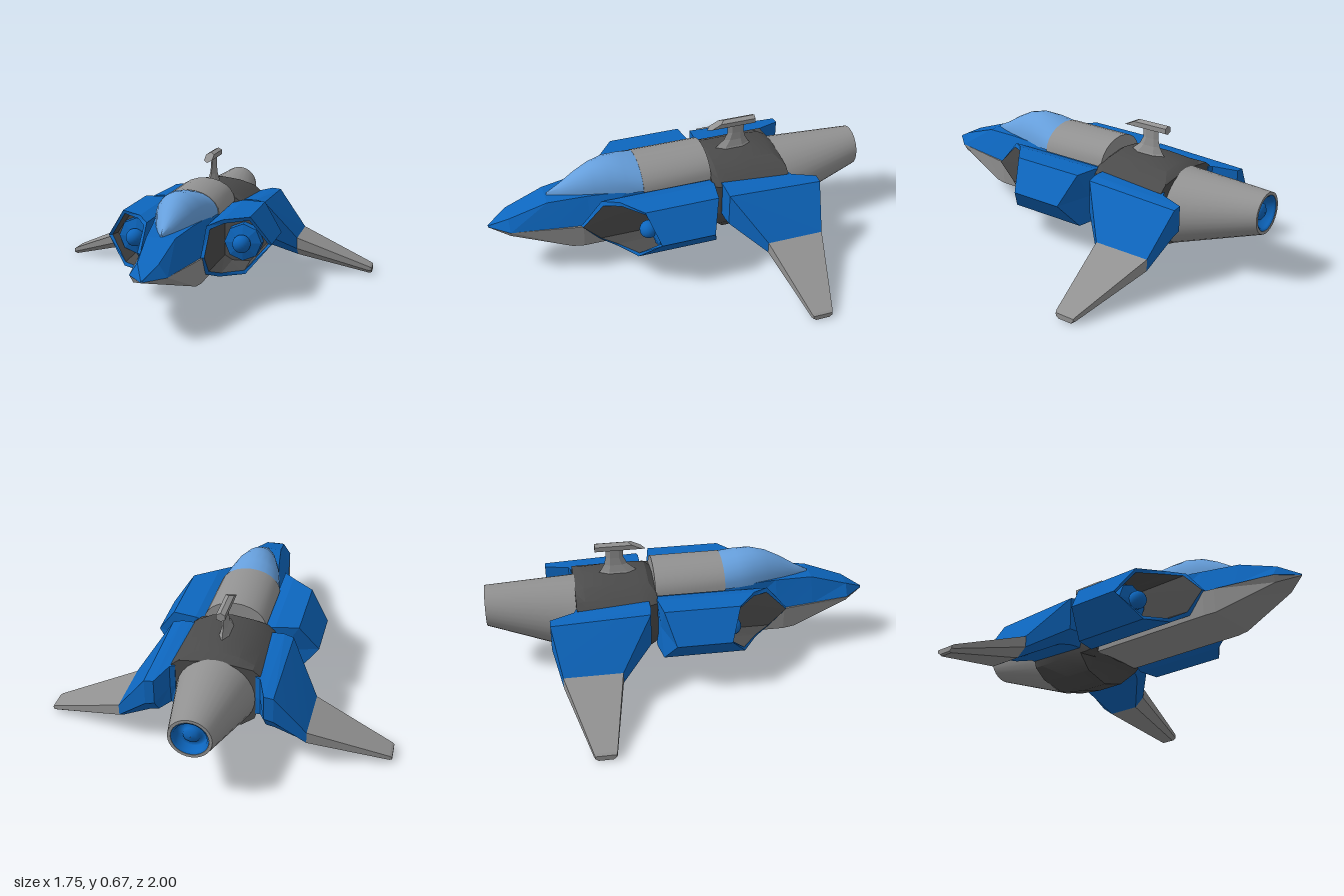
import * as THREE from 'three';
import { toCreasedNormals } from 'three/addons/utils/BufferGeometryUtils.js';

const mat = (name, color, extra = {}) => new THREE.MeshStandardMaterial({ name, color, ...extra });

// Closed skin through cross-section rings; matOf(segment) picks the material, last index is the end cap
function loft(rings, crease = 0.05, matOf = () => 0) {
  const pos = [], geo = new THREE.BufferGeometry();
  let volume = 0;
  const a = new THREE.Vector3(), b = new THREE.Vector3(), c = new THREE.Vector3();
  const tri = (p, q, r) => {
    pos.push(p, q, r);
    volume += a.set(...p).dot(b.set(...q).cross(c.set(...r)));
  };
  const cap = (ring, flip) => {
    const mid = [0, 1, 2].map((k) => ring.reduce((s, p) => s + p[k], 0) / ring.length);
    ring.forEach((p, i) => {
      const q = ring[(i + 1) % ring.length];
      flip ? tri(mid, q, p) : tri(mid, p, q);
    });
  };
  const group = (seg, build) => {
    const start = pos.length;
    build();
    geo.addGroup(start, pos.length - start, matOf(seg));
  };
  group(-1, () => cap(rings[0], true));
  for (let j = 0; j < rings.length - 1; j++) group(j, () => {
    const r = rings[j], t = rings[j + 1], n = r.length;
    for (let i = 0; i < n; i++) {
      const k = (i + 1) % n;
      tri(r[i], r[k], t[k]);
      tri(r[i], t[k], t[i]);
    }
  });
  group(rings.length - 1, () => cap(rings[rings.length - 1], false));
  if (volume < 0) for (let i = 0; i < pos.length; i += 3) [pos[i + 1], pos[i + 2]] = [pos[i + 2], pos[i + 1]];
  geo.setAttribute('position', new THREE.Float32BufferAttribute(pos.flat(), 3));
  const out = toCreasedNormals(geo, crease);
  out.groups = geo.groups;
  return out;
}

// Half outline [x, y] mirrored to a full ring at depth z
const symmetric = (half, z) => [
  ...half.map(([x, y]) => [x, y, z]),
  ...half.slice().reverse().filter(([x]) => x > 0).map(([x, y]) => [-x, y, z]),
];

export function createModel() {
  const blue = mat('blue paint', 0x0d66be);
  const blueOpen = mat('blue nozzle', 0x0d66be, { side: THREE.DoubleSide });
  const glass = mat('canopy glass', 0x669fdc);
  const grey = mat('grey metal', 0x929292);
  const dark = mat('dark metal', 0x4b4b4b);
  const model = new THREE.Group();
  const add = (name, geo, material, parent = model) => {
    const m = new THREE.Mesh(geo, material);
    m.name = name;
    parent.add(m);
    return m;
  };

  // Front fuselage: blue upper shell, grey belly
  add('noseUpper', loft([
    [1, 0.005, 0.003, 0.297], [0.9, 0.09, 0.05, 0.35], [0.7, 0.122, 0.07, 0.42],
    [0.5, 0.153, 0.1, 0.436], [0.3, 0.16, 0.14, 0.447], [-0.14, 0.16, 0.15, 0.45],
  ].map(([z, w, wt, top]) => symmetric([[w, 0.29], [wt, top]], z))), blue);
  add('noseBelly', loft([
    [1, 0.004, 0.003, 0.287], [0.9, 0.089, 0.07, 0.258], [0.6, 0.146, 0.14, 0.168],
    [0.54, 0.157, 0.15, 0.165], [-0.14, 0.157, 0.15, 0.165],
  ].map(([z, w, wb, low]) => symmetric([[w, 0.291], [wb, low]], z))), grey);

  // Arched canopy and the spine behind it: [z, half width, base y, top y]
  const arch = ([z, w, base, top]) => Array.from({ length: 13 }, (_, i) => {
    const t = Math.PI * i / 12;
    return [w * Math.cos(t), base + (top - base) * Math.sin(t), z];
  });
  add('canopy', loft([
    [0.22, 0.157, 0.44, 0.553], [0.3, 0.143, 0.437, 0.57], [0.38, 0.125, 0.434, 0.577],
    [0.46, 0.1, 0.43, 0.558], [0.54, 0.073, 0.425, 0.517], [0.62, 0.04, 0.415, 0.466],
    [0.69, 0.006, 0.41, 0.432],
  ].map(arch), 0.7), glass);
  add('spine', loft([[0.22, 0.162, 0.435, 0.555], [-0.14, 0.162, 0.435, 0.555]].map(arch), 0.7), grey);

  // Rear body with rounded belly: [z, width scale, top y, belly y]
  add('rearBody', loft([
    [-0.135, 0.93, 0.48, 0.16], [-0.17, 1, 0.505, 0.13], [-0.22, 1, 0.51, 0.05],
    [-0.37, 1, 0.51, 0.05], [-0.5, 1, 0.5, 0.07], [-0.545, 1, 0.475, 0.085],
  ].map(([z, s, top, low]) => symmetric([
    [0, top], [0.11 * s, top - 0.015], [0.185 * s, 0.45], [0.222 * s, 0.42], [0.222 * s, 0.25],
    [0.195 * s, Math.max(0.165, low + 0.02)], [0.13 * s, low + (0.2 - low) * 0.26], [0, low],
  ], z)), 0.5), dark);

  // Tail cone and recessed nozzle
  const circle = (z, y, r) => Array.from({ length: 32 }, (_, i) => {
    const t = Math.PI * i / 16;
    return [r * Math.cos(t), y + r * Math.sin(t), z];
  });
  add('tailCone', loft([
    circle(-0.54, 0.281, 0.198), circle(-1, 0.364, 0.105), circle(-1, 0.364, 0.09), circle(-0.94, 0.36, 0.08),
  ], 0.6), grey);
  const nozzle = add('nozzle', new THREE.LatheGeometry(
    [[0.089, 0.058], [0.078, 0.05], [0.07, 0.015], [0.045, 0.015], [0.04, 0.03], [0.025, 0.042], [0.001, 0.046]]
      .map(([r, y]) => new THREE.Vector2(r, y)), 28), blueOpen);
  nozzle.rotation.x = -Math.PI / 2;
  nozzle.position.set(0, 0.364, -0.941);

  for (const s of [1, -1]) {
    const side = s > 0 ? 'left' : 'right';

    // Engine pod with swept intake mouth: corner [x, y, mouth z, rear z]
    const corners = [
      [0.15, 0.425, 0.44, -0.14], [0.21, 0.442, 0.36, -0.14], [0.33, 0.442, 0.265, -0.12],
      [0.43, 0.295, 0.21, -0.07], [0.315, 0.16, 0.3, -0.12], [0.2, 0.16, 0.38, -0.14],
      [0.15, 0.19, 0.46, -0.14], [0.15, 0.295, 0.55, -0.14],
    ];
    const inset = (x, y, k) => [s * (0.28 + (x - 0.28) * k), 0.298 + (y - 0.298) * k];
    add(side + 'Engine', loft([
      corners.map(([x, y, , z]) => [s * x, y, z]),
      corners.map(([x, y, z]) => [s * x, y, z]),
      corners.map(([x, y, z]) => [...inset(x, y, 0.87), z - 0.005]),
      corners.map(([x, y]) => [...inset(x, y, 0.8), 0.15]),
    ], 0.05, (seg) => (seg >= 2 ? 1 : 0)), [blue, dark]);
    const hub = (r, z) => Array.from({ length: 8 }, (_, i) => {
      const t = Math.PI * i / 4;
      return [s * 0.28 + r * Math.cos(t), 0.295 + r * Math.sin(t), z];
    });
    add(side + 'IntakePlate', loft([hub(0.098, 0.155), hub(0.095, 0.2), hub(0.045, 0.215)]), blue);
    const ball = add(side + 'IntakeHub', new THREE.SphereGeometry(0.046, 20, 14), blue);
    ball.position.set(s * 0.28, 0.295, 0.235);

    // Shoulder and wing: rings of [z, y] at each x
    const span = (x, pts) => pts.map(([z, y]) => [s * x, y, z]);
    const root = [[-0.345, 0.2], [-0.64, 0.2], [-0.64, 0.14], [-0.58, 0.095], [-0.4, 0.095], [-0.345, 0.14]];
    add(side + 'Shoulder', loft([
      span(0.2, [[-0.18, 0.435], [-0.55, 0.42], [-0.55, 0.3], [-0.55, 0.2], [-0.22, 0.19], [-0.18, 0.25]]),
      span(0.225, [[-0.18, 0.437], [-0.56, 0.418], [-0.56, 0.3], [-0.55, 0.2], [-0.22, 0.19], [-0.18, 0.25]]),
      span(0.268, [[-0.18, 0.437], [-0.683, 0.41], [-0.683, 0.28], [-0.62, 0.2], [-0.23, 0.19], [-0.18, 0.25]]),
      span(0.315, [[-0.185, 0.425], [-0.683, 0.405], [-0.683, 0.27], [-0.62, 0.19], [-0.26, 0.185], [-0.185, 0.25]]),
      span(0.47, root),
    ]), blue);
    add(side + 'Wing', loft([
      span(0.47, root),
      span(0.865, [[-0.42, 0.042], [-0.53, 0.042], [-0.53, 0.02], [-0.51, 0.003], [-0.44, 0.003], [-0.42, 0.02]]),
      span(0.877, [[-0.425, 0.034], [-0.525, 0.034], [-0.525, 0.02], [-0.51, 0.008], [-0.44, 0.008], [-0.425, 0.02]]),
    ]), grey);
  }

  // Dorsal pylon: [y, front z, rear z, half thickness]
  add('pylon', loft([
    [0.49, -0.2, -0.43, 0.032], [0.515, -0.225, -0.405, 0.022], [0.55, -0.265, -0.385, 0.014],
    [0.59, -0.285, -0.375, 0.011], [0.64, -0.285, -0.375, 0.01],
  ].map(([y, f, r, t]) => {
    const m = (f - r) * 0.25;
    return [[0, y, f], [t, y, f - m], [t, y, r + m], [0, y, r], [-t, y, r + m], [-t, y, f - m]];
  })), grey);

  // Hexagonal pod on the pylon with a raked front
  const hex = [[0, 0.674], [0.022, 0.663], [0.022, 0.638], [0, 0.628], [-0.022, 0.638], [-0.022, 0.663]];
  add('dorsalPod', loft([
    hex.map(([x, y]) => [x, y, -0.17 - (y - 0.628) * 2]),
    hex.map(([x, y]) => [x, y, -0.43]),
  ]), grey);

  return model;
}
